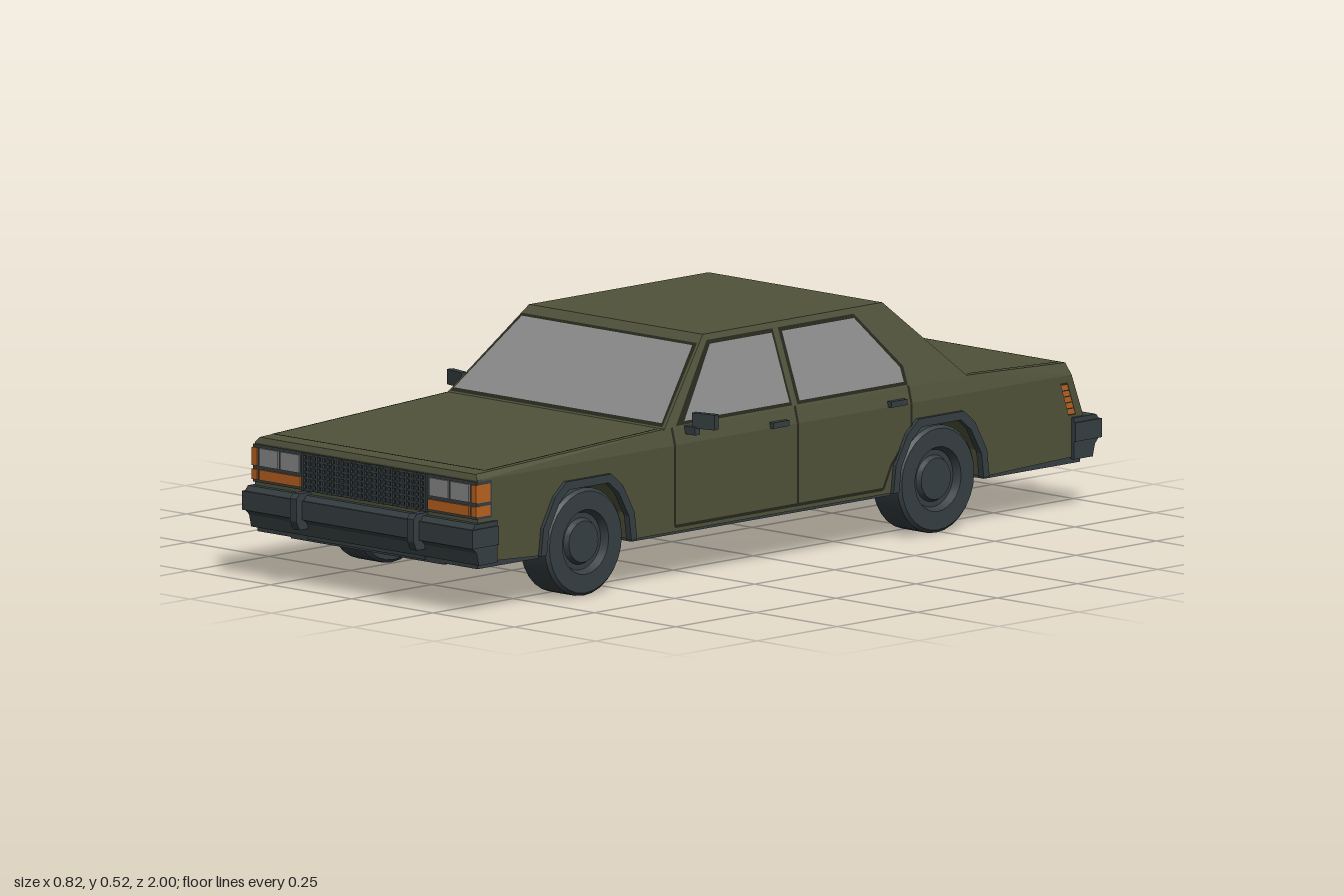
import * as THREE from 'three';
import { toCreasedNormals, mergeGeometries } from 'three/addons/utils/BufferGeometryUtils.js';
import { ConvexGeometry } from 'three/addons/geometries/ConvexGeometry.js';

const material = (name, color) => {
  const m = new THREE.MeshStandardMaterial({ color });
  m.name = name;
  return m;
};

export function createModel() {
  const olive = material('olive paint', 0x50523a);
  const trim = material('dark trim', 0x363f42);
  const seamMat = material('panel seam', 0x25281c);
  const glass = material('glass', 0x8a8a8a);
  const amber = material('amber lamp', 0xb8621f);

  const car = new THREE.Group();
  car.name = 'sedan';
  const add = (name, geometry, mat) => {
    const mesh = new THREE.Mesh(geometry, mat);
    mesh.name = name;
    car.add(mesh);
    return mesh;
  };
  const boxGeo = (x0, x1, y0, y1, z0, z1) =>
    new THREE.BoxGeometry(x1 - x0, y1 - y0, z1 - z0).translate((x0 + x1) / 2, (y0 + y1) / 2, (z0 + z1) / 2);
  const box = (name, mat, ...b) => add(name, boxGeo(...b), mat);

  // Side profile of [z, y] points, extruded across x
  const across = (pts, x0, x1) => {
    const shape = new THREE.Shape(pts.map(([z, y]) => new THREE.Vector2(z, y)));
    return new THREE.ExtrudeGeometry(shape, { depth: x1 - x0, bevelEnabled: false })
      .rotateY(-Math.PI / 2).translate(x1, 0, 0);
  };
  // Thin face just off the body, turned to look outward
  const plate = (name, points, mat, off = 0.002) => {
    let p = points.map((q) => new THREE.Vector3(...q));
    const mid = p.reduce((a, q) => a.add(q), new THREE.Vector3()).divideScalar(p.length);
    const n = p[1].clone().sub(p[0]).cross(p[2].clone().sub(p[0])).normalize();
    if (n.dot(mid.sub(new THREE.Vector3(0, 0.25, 0))) < 0) { p.reverse(); n.negate(); }
    else p = [p[p.length - 1], ...p.slice(0, -1)];
    const tri = [];
    for (let i = 1; i < p.length - 1; i++) {
      for (const q of [p[0], p[i], p[i + 1]]) tri.push(...q.clone().addScaledVector(n, off).toArray());
    }
    const g = new THREE.BufferGeometry();
    g.setAttribute('position', new THREE.Float32BufferAttribute(tri, 3));
    g.computeVertexNormals();
    return add(name, g, mat);
  };
  const grow = (pts, d) => {
    const c = [0, 1].map((k) => pts.reduce((a, p) => a + p[k], 0) / pts.length);
    return pts.map((p) => p.map((v, k) => v + Math.sign(v - c[k]) * d));
  };

  // Lower body with wheel arches cut out
  const axles = [0.615, -0.485];
  const arch = (c, k) => [[0.15, 0.108], [0.142, 0.17], [0.105, 0.235], [0.07, 0.264],
    [-0.07, 0.264], [-0.105, 0.235], [-0.142, 0.17], [-0.15, 0.108]]
    .map(([z, y]) => [c + z * k, 0.108 + (y - 0.108) * k]);
  add('lowerBody', across([[0.955, 0.3], [0.955, 0.118], ...arch(axles[0], 0.95),
    ...arch(axles[1], 0.95), [-0.94, 0.118], [-0.94, 0.195], [-0.9, 0.3]], -0.342, 0.342), olive);

  // Tapered hood, shoulder and trunk deck, then cabin
  const pair = (x, y, z) => [new THREE.Vector3(x, y, z), new THREE.Vector3(-x, y, z)];
  add('upperBody', new ConvexGeometry([
    ...pair(0.342, 0.3, 0.955), ...pair(0.342, 0.3, -0.9), ...pair(0.332, 0.312, 0.95),
    ...pair(0.332, 0.338, 0.36), ...pair(0.332, 0.338, -0.58), ...pair(0.332, 0.327, -0.89)]), olive);
  add('cabin', new ConvexGeometry([
    ...pair(0.334, 0.335, 0.365), ...pair(0.334, 0.335, -0.585),
    ...pair(0.267, 0.517, 0.175), ...pair(0.267, 0.517, -0.385)]), olive);

  // Underside and axles
  box('underbody', trim, -0.235, 0.235, 0.099, 0.285, -0.93, 0.95);
  for (const [z0, z1] of [[-0.93, -0.63], [-0.34, 0.47], [0.76, 0.95]]) {
    box('floor', trim, -0.338, 0.338, 0.102, 0.12, z0, z1);
  }
  // Wheels with recessed hubs
  const wheelProfile = [[0, -0.045], [0.113, -0.045], [0.12, -0.038], [0.12, 0.038], [0.113, 0.045],
    [0.072, 0.045], [0.064, 0.028], [0.052, 0.028], [0.046, 0.039], [0, 0.039]]
    .map(([r, y]) => new THREE.Vector2(r, y));
  const wheelGeo = toCreasedNormals(new THREE.LatheGeometry(wheelProfile, 28), 0.5);
  for (const z of axles) {
    add('axle', new THREE.CylinderGeometry(0.016, 0.016, 0.52, 10).rotateZ(Math.PI / 2).translate(0, 0.12, z), trim);
    for (const s of [1, -1]) {
      const wheel = add('wheel', wheelGeo, trim);
      wheel.rotation.z = -s * Math.PI / 2;
      wheel.position.set(s * 0.295, 0.12, z);
      const ring = [...arch(z, 1), ...arch(z, 0.88).reverse()];
      add('archFlare', across(ring, s > 0 ? 0.335 : -0.351, s > 0 ? 0.351 : -0.335), trim);
    }
  }

  // Half width of the car at a height
  const sideX = (y) => y <= 0.3 ? 0.342 : y <= 0.338 ? 0.342 - (y - 0.3) * 0.01 / 0.038
    : 0.334 - (y - 0.335) * 0.067 / 0.182;
  const onSide = (s, pts) => pts.map(([z, y]) => [s * sideX(y), y, z]);
  const seam = (s, pts) => {
    for (let i = 0; i < pts.length - 1; i++) {
      const [[z0, y0], [z1, y1]] = [pts[i], pts[i + 1]];
      const l = Math.hypot(z1 - z0, y1 - y0), dz = (y1 - y0) / l * 0.0035, dy = -(z1 - z0) / l * 0.0035;
      plate('doorSeam', [[z0 + dz, y0 + dy], [z1 + dz, y1 + dy], [z1 - dz, y1 - dy], [z0 - dz, y0 - dy]]
        .map(([z, y]) => [s * sideX((y0 + y1) / 2 > 0.3 ? Math.max(y, 0.3) : Math.min(y, 0.3)), y, z]), seamMat);
    }
  };
  const sideWindows = [
    [[-0.028, 0.347], [0.3, 0.347], [0.165, 0.495], [-0.028, 0.495]],
    [[-0.06, 0.495], [-0.06, 0.347], [-0.385, 0.347], [-0.385, 0.378], [-0.285, 0.495]]];
  const frames = [
    [[-0.036, 0.34], [0.327, 0.34], [0.17, 0.504], [-0.036, 0.504]],
    [[-0.052, 0.504], [-0.052, 0.34], [-0.397, 0.34], [-0.397, 0.38], [-0.289, 0.504]]];

  for (const s of [1, -1]) {
    // Doors, side glass and handles
    sideWindows.forEach((w, i) => {
      plate('windowFrame', onSide(s, frames[i]), seamMat, 0.002);
      plate('sideWindow', onSide(s, w), glass, 0.004);
    });
    seam(s, [[0.34, 0.338], [0.34, 0.3], [0.34, 0.12], [-0.31, 0.12], [-0.335, 0.17], [-0.398, 0.24], [-0.398, 0.3], [-0.398, 0.338]]);
    seam(s, [[-0.044, 0.338], [-0.044, 0.3], [-0.044, 0.12]]);
    for (const z of [0.015, -0.353]) box('doorHandle', trim, s * 0.343 - 0.008, s * 0.343 + 0.008, 0.3, 0.313, z - 0.025, z + 0.025);

    // Door mirrors
    box('mirrorStalk', trim, s * 0.346 - 0.02, s * 0.346 + 0.02, 0.32, 0.338, 0.284, 0.3);
    const mirror = add('mirror', new THREE.BoxGeometry(0.058, 0.034, 0.016), trim);
    mirror.position.set(s * 0.381, 0.352, 0.283);
    mirror.rotation.y = s * 0.22;

    // Headlamps and wraparound turn signals
    const front = (name, mat, x0, x1, y0, y1, z = 0.962) => box(name, mat, s * (x0 + x1) / 2 - (x1 - x0) / 2,
      s * (x0 + x1) / 2 + (x1 - x0) / 2, y0, y1, 0.95, z);
    front('lampSurround', trim, 0.19, 0.344, 0.213, 0.297, 0.958);
    front('headlamp', glass, 0.2, 0.258, 0.25, 0.29);
    front('headlamp', glass, 0.265, 0.322, 0.25, 0.29);
    front('turnSignal', amber, 0.196, 0.322, 0.219, 0.242);
    for (const [y0, y1] of [[0.219, 0.242], [0.25, 0.29]]) {
      front('cornerLamp', amber, 0.329, 0.345, y0, y1);
      plate('sideLamp', onSide(s, [[0.918, y0], [0.96, y0], [0.96, y1], [0.918, y1]]), amber, 0.004);
    }
    plate('sideLampSurround', onSide(s, [[0.912, 0.213], [0.955, 0.213], [0.955, 0.297], [0.912, 0.297]]), trim);
  }

  // Windshield and rear window
  const screen = (name, zBase, zTop) => {
    const at = (x, y) => [x, y, zBase + (zTop - zBase) * (y - 0.335) / 0.182];
    const quad = (xb, yb, xt, yt) => [at(-xb, yb), at(xb, yb), at(xt, yt), at(-xt, yt)];
    plate(name + 'Frame', quad(0.326, 0.34, 0.269, 0.499), seamMat, 0.002);
    plate(name, quad(0.319, 0.346, 0.262, 0.493), glass, 0.004);
  };
  screen('windshield', 0.365, 0.175);
  screen('rearWindow', -0.585, -0.385);

  // Hood and trunk lid seams
  const deckY = (z) => z > 0 ? 0.312 + (0.95 - z) * 0.026 / 0.59 : 0.327 + (z + 0.89) * 0.011 / 0.31;
  const deckSeam = (x0, x1, z0, z1) => plate('lidSeam',
    [[x0, deckY(z0), z0], [x1, deckY(z0), z0], [x1, deckY(z1), z1], [x0, deckY(z1), z1]], seamMat);
  for (const s of [1, -1]) {
    deckSeam(s * 0.322, s * 0.327, 0.375, 0.915);
    deckSeam(s * 0.322, s * 0.327, -0.59, -0.88);
  }
  deckSeam(-0.327, 0.327, 0.912, 0.917);
  deckSeam(-0.327, 0.327, -0.875, -0.88);

  // Grille mesh
  box('grilleBack', seamMat, -0.19, 0.19, 0.213, 0.297, 0.95, 0.957);
  const bars = [];
  for (let i = 0; i <= 26; i++) {
    const x = -0.187 + i * 0.374 / 26;
    bars.push(boxGeo(x - 0.003, x + 0.003, 0.213, 0.297, 0.95, 0.963));
  }
  for (let i = 0; i <= 6; i++) {
    const y = 0.216 + i * 0.013;
    bars.push(boxGeo(-0.19, 0.19, y - 0.0025, y + 0.0025, 0.95, 0.962));
  }
  add('grille', mergeGeometries(bars), trim);

  // Sloped tail panel: slatted lamps, reverse lamps and plate recess
  const rearZ = (y) => -0.94 + (y - 0.195) * 0.04 / 0.105;
  const rear = (name, mat, x0, x1, y0, y1, off) => plate(name,
    [[x0, y0, rearZ(y0)], [x1, y0, rearZ(y0)], [x1, y1, rearZ(y1)], [x0, y1, rearZ(y1)]], mat, off);
  for (const s of [1, -1]) {
    rear('tailLampSurround', seamMat, s * 0.228, s * 0.337, 0.198, 0.3, 0.002);
    rear('reverseLamp', glass, s * 0.234, s * 0.33, 0.201, 0.215, 0.004);
    plate('sideMarkerSurround', onSide(s, [[-0.888, 0.21], [-0.912, 0.21], [-0.886, 0.285], [-0.862, 0.285]]), seamMat);
    for (let i = 0; i < 5; i++) {
      const y = 0.22 + i * 0.0155, z = -0.886 + i * 0.005;
      rear('tailLamp', amber, s * 0.234, s * 0.33, y, y + 0.0125, 0.004);
      const m = 0.214 + i * 0.0138;
      plate('sideMarker', onSide(s, [[z, m], [z - 0.02, m], [z - 0.016, m + 0.011], [z + 0.004, m + 0.011]]), amber, 0.004);
    }
    rear('trunkSeam', seamMat, s * 0.212, s * 0.217, 0.21, 0.3, 0.002);
  }
  rear('trunkSeam', seamMat, -0.217, 0.217, 0.207, 0.212, 0.002);
  rear('plateFrame', seamMat, -0.068, 0.068, 0.235, 0.285, 0.002);
  rear('plateRecess', olive, -0.062, 0.062, 0.24, 0.28, 0.004);

  // Bumpers with stepped faces, end caps and overriders
  for (const s of [1, -1]) {
    const end = s > 0 ? 'front' : 'rear';
    const profile = [[0.9, 0.112], [0.958, 0.112], [0.965, 0.14], [0.98, 0.155], [0.98, 0.192], [0.968, 0.205], [0.9, 0.205]];
    add(end + 'Bumper', across(profile.map(([z, y]) => [s * z, y]), -0.35, 0.35), trim);
    const strip = [[0.9, 0.152], [0.983, 0.152], [0.983, 0.194], [0.9, 0.194]];
    add(end + 'BumperStrip', across(strip.map(([z, y]) => [s * z, y]), -0.354, 0.354), trim);
    for (const x of s > 0 ? [-0.18, 0.18] : [-0.2, 0.2]) {
      const guard = [[0.95, 0.13], [0.99, 0.13], [1, 0.15], [1, 0.2], [0.99, 0.211], [0.95, 0.211]];
      add(end + 'Overrider', across(guard.map(([z, y]) => [s * z, y]), x - 0.01, x + 0.01), trim);
    }
  }
  box('frontValance', trim, -0.18, 0.18, 0.104, 0.115, 0.93, 0.955);
  return car;
}
